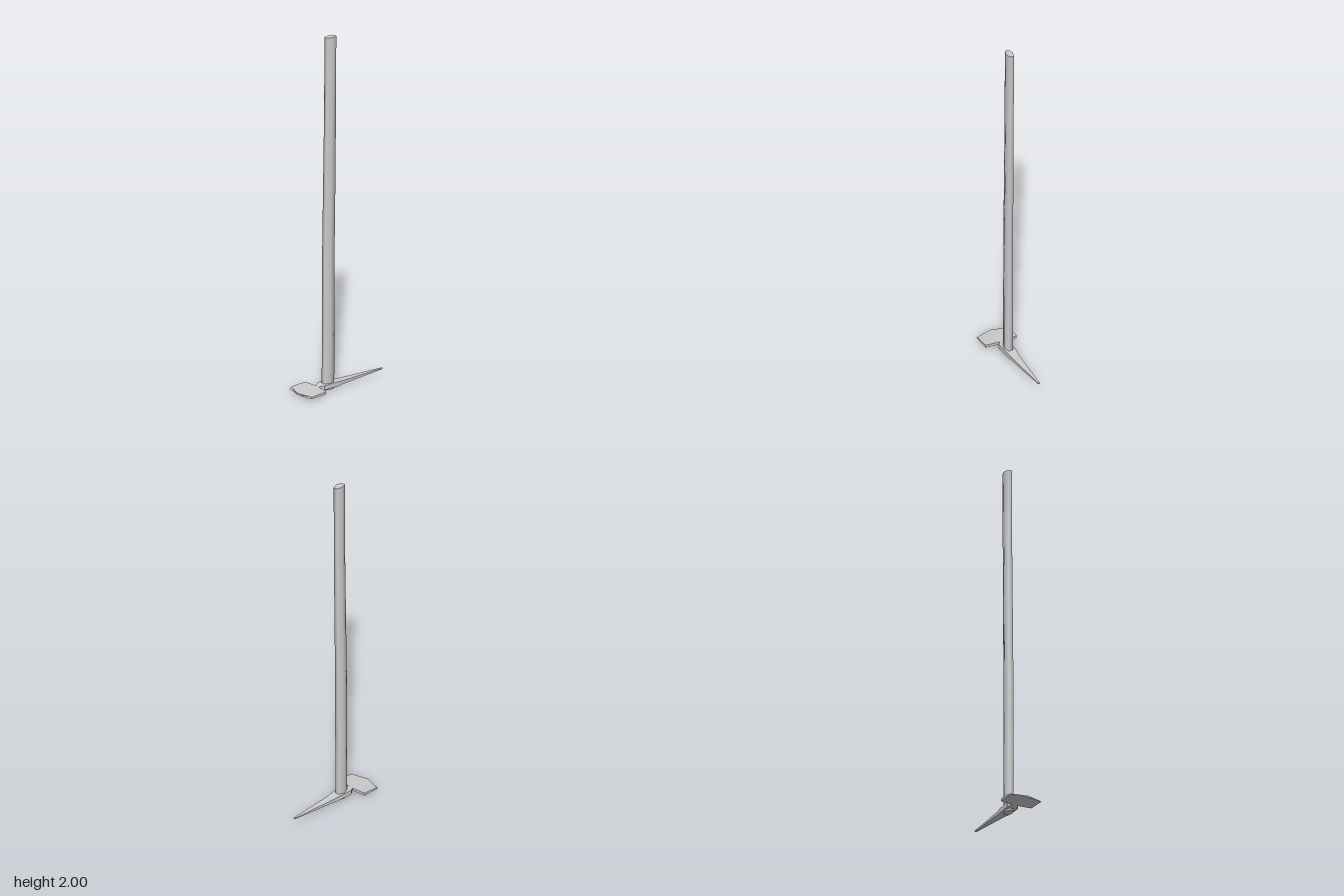
import * as THREE from 'three';
import { toCreasedNormals } from 'three/addons/utils/BufferGeometryUtils.js';

// Skin a list of six-point rings and close both ends.
function loft(rings, crease) {
  const n = 6, index = [];
  for (let r = 0; r < rings.length - 1; r++) {
    for (let i = 0; i < n; i++) {
      const a = r * n + i, b = r * n + (i + 1) % n;
      index.push(a, b, b + n, a, b + n, a + n);
    }
  }
  const last = (rings.length - 1) * n;
  for (let k = 1; k < n - 1; k++) {
    const p = (1 + k) % n, q = (2 + k) % n;
    index.push(1, q, p, last + 1, last + p, last + q);
  }
  const geometry = new THREE.BufferGeometry();
  geometry.setAttribute('position', new THREE.Float32BufferAttribute(rings.flat(2), 3));
  geometry.setIndex(index);
  return toCreasedNormals(geometry, crease);
}

// Elongated hexagon of the handle at height y.
const handleRing = ([y, z, w, d]) => [
  [w, y, z], [w * 0.55, y, z - d], [-w * 0.55, y, z - d],
  [-w, y, z], [-w * 0.55, y, z + d], [w * 0.55, y, z + d],
];

// Head section: half width, bottom, top, then z of bottom corner, top corner and centre.
const headRing = ([w, bottom, top, zb, zt = zb, zc = zb]) => [
  [-w, bottom, zb], [0, bottom, zc], [w, bottom, zb],
  [w, top, zt], [0, top, zc], [-w, top, zt],
];

export function createModel() {
  const group = new THREE.Group();
  const material = new THREE.MeshStandardMaterial({ color: 0xcccccc });
  const add = (name, geometry) => {
    const mesh = new THREE.Mesh(geometry, material);
    mesh.name = name;
    group.add(mesh);
  };

  // Slightly bowed handle: y, z centre, half width, half depth
  add('handle', loft([
    [0, 0.077, 0.023, 0.032],
    [0.35, 0.076, 0.023, 0.032],
    [0.8, 0.074, 0.022, 0.032],
    [1.2, 0.068, 0.021, 0.032],
    [1.6, 0.063, 0.02, 0.031],
    [2, 0.061, 0.02, 0.031],
  ].map(handleRing), 1.4));

  // Long tapering pick
  add('pick', loft([
    [0.005, 0.031, 0.037, -0.28],
    [0.023, 0.013, 0.033, 0],
    [0.027, 0.011, 0.036, 0.02],
  ].map(headRing), 0.5));

  // Collar around the handle, narrowing to the neck
  add('collar', loft([
    [0.027, 0.011, 0.036, 0.02],
    [0.031, 0.01, 0.037, 0.09],
    [0.032, 0.011, 0.035, 0.122],
    [0.013, 0.013, 0.029, 0.148],
  ].map(headRing), 0.5));

  // Broad blade with a pointed, bevelled cutting edge
  add('blade', loft([
    [0.013, 0.013, 0.029, 0.148],
    [0.093, 0.013, 0.028, 0.157],
    [0.094, 0.012, 0.025, 0.205],
    [0.094, 0.01, 0.019, 0.262, 0.252, 0.278],
  ].map(headRing), 0.5));

  return group;
}
